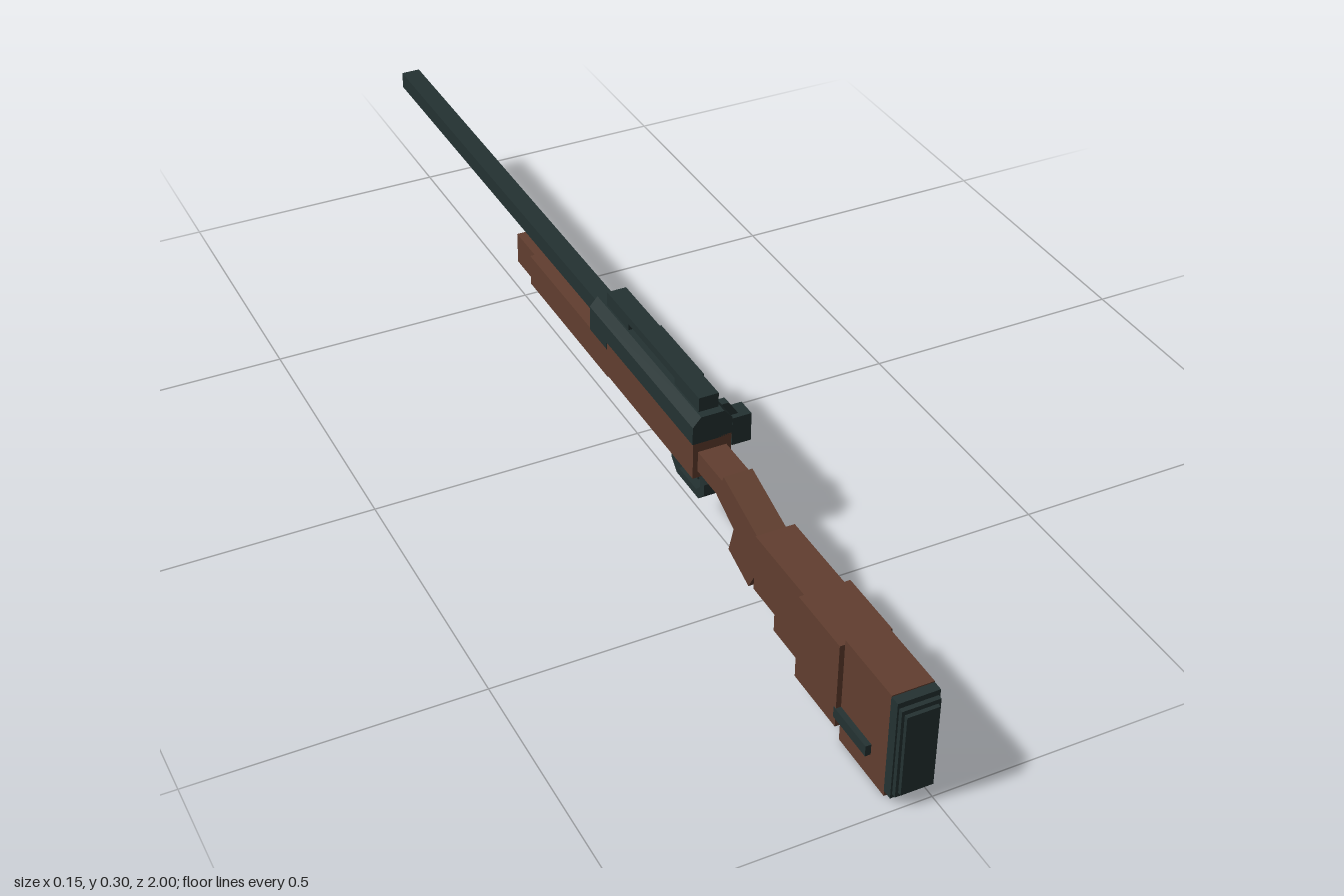
import * as THREE from 'three';

const CX = -0.028; // centre line of stock and barrel

export function createModel() {
  const root = new THREE.Group();
  const wood = new THREE.MeshStandardMaterial({ name: 'brownWood', color: 0x613e2f });
  const metal = new THREE.MeshStandardMaterial({ name: 'darkMetal', color: 0x243232 });

  const add = (name, geometry, material) => {
    const mesh = new THREE.Mesh(geometry, material);
    mesh.name = name;
    root.add(mesh);
    return mesh;
  };
  // Box given by its limits on each axis
  const box = (name, mat, x0, x1, y0, y1, z0, z1) =>
    add(name, new THREE.BoxGeometry(x1 - x0, y1 - y0, z1 - z0)
      .translate((x0 + x1) / 2, (y0 + y1) / 2, (z0 + z1) / 2), mat);
  // Box centred on the centre line
  const block = (name, mat, width, y0, y1, z0, z1) =>
    box(name, mat, CX - width / 2, CX + width / 2, y0, y1, z0, z1);
  const shapeOf = (pts) => new THREE.Shape(pts.map((p) => new THREE.Vector2(...p)));
  // Side profile of (z, y) points, extruded across x
  const side = (name, mat, width, pts, hole) => {
    const shape = shapeOf(pts);
    if (hole) shape.holes.push(shapeOf(hole));
    return add(name, new THREE.ExtrudeGeometry(shape, { depth: width, bevelEnabled: false })
      .translate(0, 0, -width / 2).rotateY(-Math.PI / 2).translate(CX, 0, 0), mat);
  };
  // Front profile of (x, y) points, extruded from z0 to z1
  const front = (name, mat, z0, z1, pts) =>
    add(name, new THREE.ExtrudeGeometry(shapeOf(pts), { depth: z1 - z0, bevelEnabled: false })
      .translate(0, 0, z0), mat);
  // Rectangle with cut corners
  const chamfered = (z0, z1, y0, y1, c) => [
    [z0 + c, y0], [z1 - c, y0], [z1, y0 + c], [z1, y1 - c],
    [z1 - c, y1], [z0 + c, y1], [z0, y1 - c], [z0, y0 + c],
  ];

  // Butt pad in three shrinking layers
  block('buttPadBase', metal, 0.072, 0.01, 0.198, 0.967, 0.985);
  block('buttPadMiddle', metal, 0.066, 0.018, 0.188, 0.985, 0.993);
  block('buttPadFace', metal, 0.056, 0.026, 0.18, 0.993, 1.0);

  // Stepped stock
  block('stockRear', wood, 0.072, 0.0, 0.2, 0.835, 0.968);
  block('stockCheek', wood, 0.09, 0.03, 0.191, 0.71, 0.835);
  block('stockFront', wood, 0.07, 0.05, 0.19, 0.622, 0.71);
  block('stockNeck', wood, 0.07, 0.083, 0.19, 0.553, 0.622);
  box('stockSideStrip', metal, -0.074, -0.063, 0.047, 0.067, 0.83, 0.925);

  // Angled grip and wrist
  side('grip', wood, 0.052, [
    [0.56, 0.173], [0.56, 0.1], [0.545, 0.105], [0.52, 0.06], [0.45, 0.085],
    [0.465, 0.137], [0.405, 0.165], [0.427, 0.216],
  ].reverse());
  block('wrist', wood, 0.052, 0.166, 0.205, 0.33, 0.425);

  // Fore stock
  block('foreStockRear', wood, 0.07, 0.153, 0.225, 0.01, 0.337);
  block('foreStock', wood, 0.07, 0.15, 0.21, -0.32, 0.01);
  block('foreStockTip', wood, 0.052, 0.15, 0.21, -0.4, -0.32);
  block('floorPlate', metal, 0.05, 0.145, 0.156, 0.04, 0.225);

  // Trigger and guard
  side('triggerGuard', metal, 0.034,
    chamfered(0.224, 0.344, 0.097, 0.158, 0.02),
    chamfered(0.238, 0.33, 0.111, 0.15, 0.014).reverse());
  side('trigger', metal, 0.014, [[0.275, 0.155], [0.295, 0.155], [0.302, 0.118], [0.292, 0.118]]);

  // Receiver with sloped shoulders
  front('receiver', metal, -0.058, 0.337, [
    [-0.064, 0.222], [0.008, 0.222], [0.008, 0.256], [-0.007, 0.273], [-0.049, 0.273], [-0.064, 0.256],
  ]);
  block('receiverRing', metal, 0.072, 0.208, 0.24, -0.058, 0.01);
  box('ejectionCover', metal, -0.005, 0.016, 0.22, 0.265, 0.06, 0.22);

  // Top rail on two feet
  block('topRail', metal, 0.036, 0.285, 0.3, -0.025, 0.322);
  for (const [z0, z1] of [[-0.025, 0.06], [0.235, 0.322]])
    block('railFoot', metal, 0.036, 0.27, 0.286, z0, z1);

  // Bolt handle
  front('boltArm', metal, 0.26, 0.276, [
    [0.0, 0.218], [0.024, 0.218], [0.042, 0.19], [0.056, 0.204], [0.034, 0.237], [0.0, 0.237],
  ]);
  box('boltKnob', metal, 0.036, 0.072, 0.155, 0.21, 0.25, 0.286);

  // Barrel
  block('barrel', metal, 0.036, 0.224, 0.256, -1.0, -0.05);

  return root;
}
